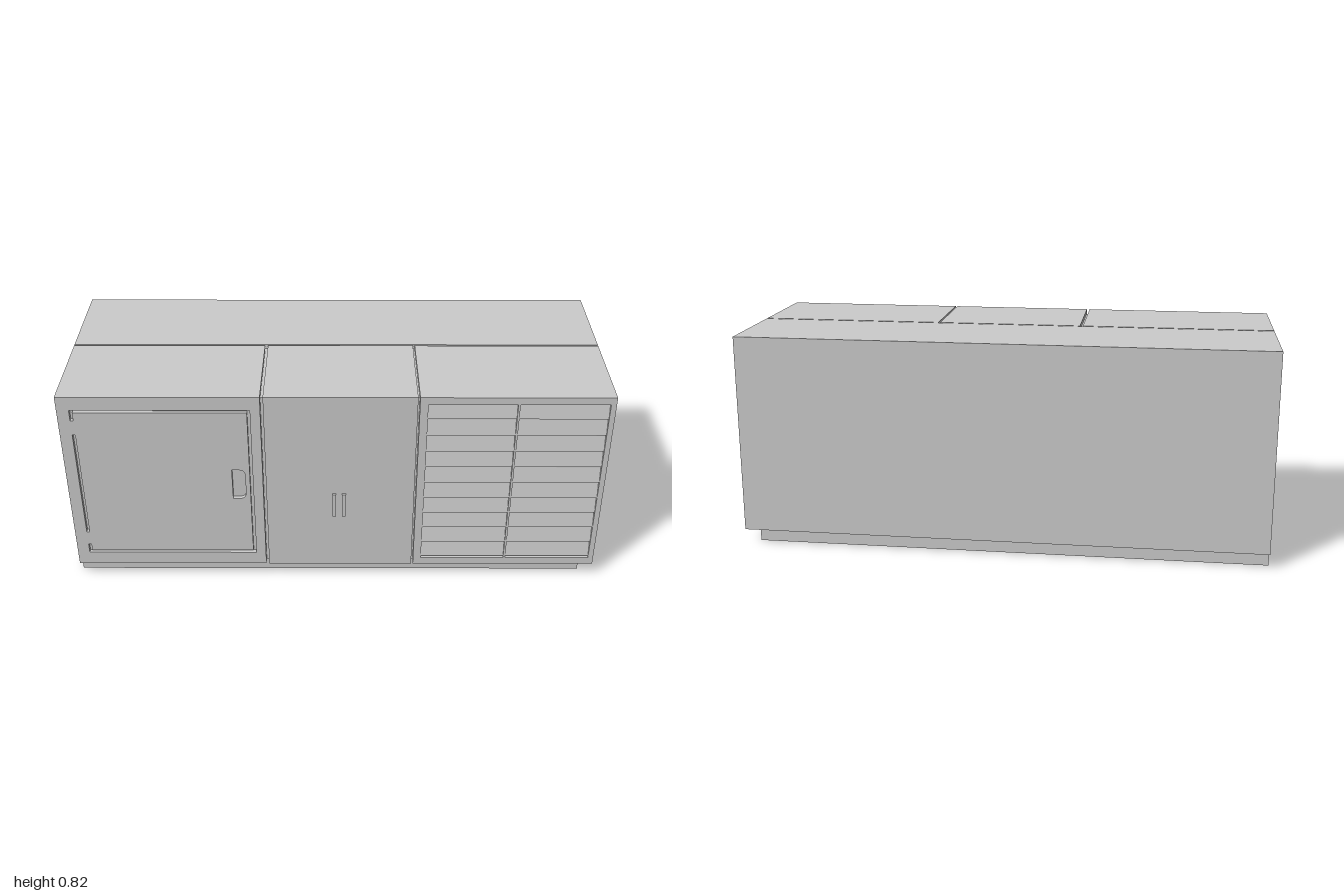
import * as THREE from 'three';

const material = new THREE.MeshStandardMaterial({ color: 0xcccccc });
const BASE = 0.06, TOP = 0.82, FRONT = 0.378, SKIN = 0.016;

export function createModel() {
  const model = new THREE.Group();
  model.name = 'counter';

  const add = (parent, name, geometry) => {
    const mesh = new THREE.Mesh(geometry, material);
    mesh.name = name;
    parent.add(mesh);
    return mesh;
  };
  // Box given by its limits on each axis
  const block = (parent, name, x0, x1, y0, y1, z0, z1) => {
    const mesh = add(parent, name, new THREE.BoxGeometry(x1 - x0, y1 - y0, z1 - z0));
    mesh.position.set((x0 + x1) / 2, (y0 + y1) / 2, (z0 + z1) / 2);
    return mesh;
  };
  const trace = (path, x0, x1, y0, y1) => {
    path.moveTo(x0, y0);
    path.lineTo(x1, y0);
    path.lineTo(x1, y1);
    path.lineTo(x0, y1);
    path.closePath();
    return path;
  };
  // Front panel with cut-outs
  const panel = (parent, name, x0, x1, y0, y1, holes) => {
    const shape = trace(new THREE.Shape(), x0, x1, y0, y1);
    shape.holes.push(...holes);
    const mesh = add(parent, name, new THREE.ExtrudeGeometry(shape, {
      depth: SKIN, bevelEnabled: false, curveSegments: 6,
    }));
    mesh.position.z = FRONT - SKIN;
    return mesh;
  };
  const section = (name) => {
    const group = new THREE.Group();
    group.name = name;
    model.add(group);
    return group;
  };

  // Plinth, rear cabinet and the recessed fillers in the joints
  block(model, 'plinth', -1, 0.955, 0, BASE, -0.34, 0.335);
  block(model, 'rearCabinet', -1, 1, BASE, TOP, -0.385, -0.008);
  block(model, 'rearJointFiller', -1, 0.985, BASE, 0.803, -0.008, 0);
  block(model, 'jointFiller', -0.271, -0.26, BASE, 0.803, 0, 0.35);
  block(model, 'jointFiller', 0.293, 0.3, BASE, 0.803, 0, 0.35);

  // Single-door cabinet: door set in a frame with a narrow groove around it
  const single = section('singleDoorCabinet');
  const back = FRONT - SKIN;
  block(single, 'body', -1, -0.271, BASE, TOP, 0, back);
  panel(single, 'frame', -1, -0.271, BASE, TOP,
    [trace(new THREE.Path(), -0.955, -0.308, 0.115, 0.765)]);

  // Rounded finger pull cut into the door
  const pull = new THREE.Path();
  pull.moveTo(-0.385, 0.375);
  pull.lineTo(-0.36, 0.375);
  pull.quadraticCurveTo(-0.336, 0.375, -0.336, 0.4);
  pull.lineTo(-0.336, 0.48);
  pull.quadraticCurveTo(-0.336, 0.505, -0.36, 0.505);
  pull.lineTo(-0.385, 0.505);
  pull.closePath();
  panel(single, 'door', -0.944, -0.319, 0.126, 0.754, [pull]);
  for (const y of [0.185, 0.69])
    block(single, 'hinge', -0.955, -0.944, y - 0.03, y + 0.03, back, FRONT);

  // Double-door cabinet with two bar handles
  const double = section('doubleDoorCabinet');
  block(double, 'body', -0.26, 0.293, BASE, TOP, 0, FRONT);
  for (const x of [-0.006, 0.03])
    block(double, 'handle', x - 0.007, x + 0.007, 0.298, 0.398, FRONT, 0.387);

  // Louvred cabinet: two columns of slats in a shallow recess
  const louvred = section('louvredCabinet');
  const columns = [[0.33, 0.65], [0.658, 0.98]];
  const low = 0.09, high = 0.79, rows = 10, pitch = (high - low) / rows;
  block(louvred, 'body', 0.3, 1, BASE, TOP, 0, back);
  panel(louvred, 'frame', 0.3, 1, BASE, TOP,
    columns.map(([x0, x1]) => trace(new THREE.Path(), x0, x1, low, high)));

  // Sawtooth section: each slat leans out towards its lower edge
  const slats = new THREE.Shape();
  slats.moveTo(-back, low);
  for (let i = 0; i < rows; i++) {
    const y = low + i * pitch;
    slats.lineTo(-(FRONT - 0.003), y + 0.008);
    slats.lineTo(-(back + 0.002), y + pitch);
    slats.lineTo(-(back + 0.002), y + pitch + (i < rows - 1 ? 0.008 : 0));
  }
  slats.lineTo(-back, high);
  slats.closePath();
  for (const [x0, x1] of columns) {
    const geometry = new THREE.ExtrudeGeometry(slats, { depth: x1 - x0, bevelEnabled: false });
    geometry.rotateY(Math.PI / 2);
    add(louvred, 'slats', geometry).position.x = x0;
  }

  return model;
}
